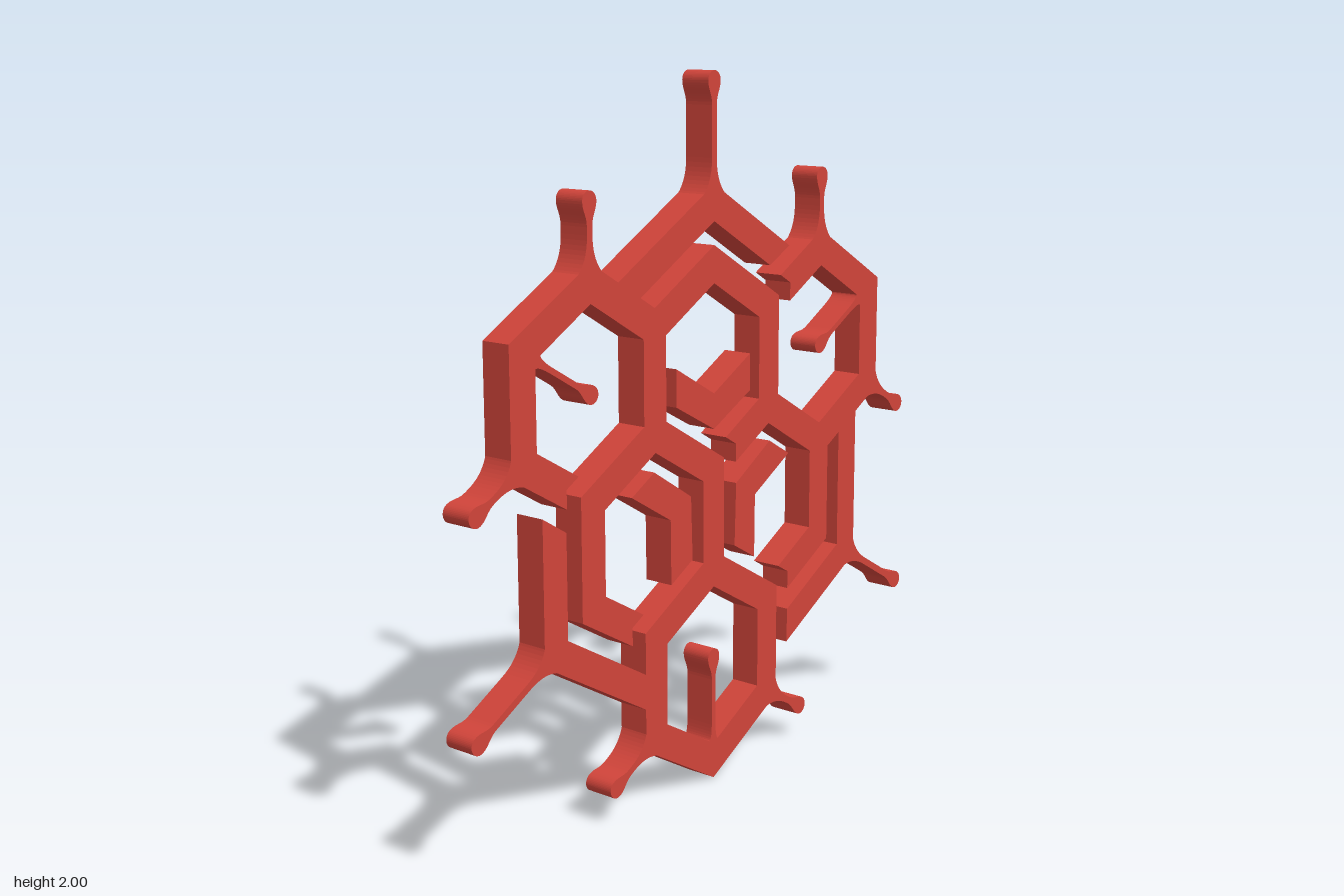
import * as THREE from 'three';

const DEPTH = 0.09;            // plate thickness
const T = 0.045;               // half width of a bar
const APO = 0.2475;            // hexagon apothem on bar centre lines
const R = APO / Math.cos(Math.PI / 6);
const MID = 0.912;             // height of the pattern's centre
const TAN30 = Math.tan(Math.PI / 6);
const rad = THREE.MathUtils.degToRad;
const polar = (c, r, deg) => [c[0] + r * Math.cos(rad(deg)), c[1] + r * Math.sin(rad(deg))];

const red = new THREE.MeshStandardMaterial({ color: 0xd0443a });

// Extrude a flat shape, centred on z = 0
function plate(shape, name) {
  const geo = new THREE.ExtrudeGeometry(shape, { depth: DEPTH, bevelEnabled: false, curveSegments: 10 });
  geo.translate(0, 0, -DEPTH / 2);
  const mesh = new THREE.Mesh(geo, red);
  mesh.name = name;
  return mesh;
}

const polygon = (pts) => new THREE.Shape(pts.map((p) => new THREE.Vector2(p[0], p[1])));

// Bar from a to b; a cut start stops short with a notched end
function bar(a, b, cut) {
  const len = Math.hypot(b[0] - a[0], b[1] - a[1]);
  const ext = T * TAN30;
  const start = cut ? [[0.087, T], [0.087 + ext, 0], [0.087, -T]] : [[-ext, T], [-ext, -T]];
  const mesh = plate(polygon([...start, [len + ext, -T], [len + ext, T]]), cut ? 'cutBar' : 'bar');
  mesh.position.set(a[0], a[1], 0);
  mesh.rotation.z = Math.atan2(b[1] - a[1], b[0] - a[0]);
  return mesh;
}

// Stem with flared root and round knob, pointing along deg; slope is the corner's side angle
function spike(base, deg, len, { root = 0.055, slope = -TAN30, w = 0.01, r = 0.026, name = 'spike' } = {}) {
  const flare = Math.min(0.07, len * 0.45);
  const u0 = root * slope;
  const neck = len - 0.065;
  const s = new THREE.Shape();
  s.moveTo(0, Math.min(u0, 0) - 0.02);
  s.lineTo(root, u0 - 0.004);
  s.quadraticCurveTo(w, Math.max(u0 * 0.2, 0), w, flare);
  s.lineTo(w, Math.max(neck, flare + 0.002));
  s.bezierCurveTo(w, len - 0.035, r, len - 0.025, r, len);
  s.absarc(0, len, r, 0, Math.PI, false);
  s.bezierCurveTo(-r, len - 0.025, -w, len - 0.035, -w, Math.max(neck, flare + 0.002));
  s.lineTo(-w, flare);
  s.quadraticCurveTo(-w, Math.max(u0 * 0.2, 0), -root, u0 - 0.004);
  const mesh = plate(s, name);
  mesh.position.set(base[0], base[1], 0);
  mesh.rotation.z = rad(deg - 90);
  return mesh;
}

export function createModel() {
  const model = new THREE.Group();
  model.name = 'hexagonEmblem';

  // Cell centres of the triangular honeycomb
  const yTop = MID + R, yMid = MID - R / 2, yLow = MID - 2 * R;
  const top = [0, yTop], upLeft = [-2 * APO, yTop], upRight = [2 * APO, yTop], low = [0, yLow];
  const cells = [top, upLeft, upRight, [-APO, yMid], [APO, yMid], low];

  // Bars that stop short: the joint they stop at and their direction
  const cuts = [
    [[-2 * APO, MID], 150],
    [[APO, MID + 1.5 * R], 30],
    [[APO, MID - 1.5 * R], 30],
    [[-APO, MID - 1.5 * R], 150],
    [[0, MID], 30],
  ];
  const near = (p, q) => Math.hypot(p[0] - q[0], p[1] - q[1]) < 0.01;

  // Honeycomb lattice, each shared edge built once
  const lattice = new THREE.Group();
  lattice.name = 'honeycombLattice';
  const done = [];
  for (const c of cells) {
    for (let k = 0; k < 6; k++) {
      let a = polar(c, R, 30 + 60 * k);
      let b = polar(c, R, 90 + 60 * k);
      const m = [(a[0] + b[0]) / 2, (a[1] + b[1]) / 2];
      if (done.some((d) => near(d, m))) continue;
      done.push(m);
      const cut = cuts.find(([v, deg]) => near(polar(v, R / 2, deg), m));
      if (cut && near(b, cut[0])) [a, b] = [b, a];
      lattice.add(bar(a, b, Boolean(cut)));
    }
  }
  model.add(lattice);

  // Outer bent band, inner chevron and long spike, repeated three times about the centre
  const band = [[0, 0.788], [-0.39, 0.563], [-0.36, 0.506], [-0.303, 0.513], [0, 0.688], [0.25, 0.544], [0.339, 0.592]];
  const chevron = [[-0.16, 0.305], [-0.16, 0.2], [0, 0.115], [0.16, 0.2], [0.16, 0.305], [0, 0.215]];
  ['top', 'right', 'left'].forEach((side, i) => {
    const arm = new THREE.Group();
    arm.name = side + 'Arm';
    arm.add(plate(polygon(band), 'outerBand'));
    arm.add(plate(polygon(chevron), 'innerChevron'));
    arm.add(spike([0, 0.788], 90, 0.274, { name: 'longSpike' }));
    arm.position.y = MID;
    arm.rotation.z = -i * rad(120);
    model.add(arm);
  });

  // Short spikes on the outer corners
  const outer = R + T / Math.cos(Math.PI / 6);
  for (const [c, deg, len] of [
    [upLeft, 90, 0.155], [upRight, 90, 0.155],
    [upLeft, 210, 0.14], [upRight, -30, 0.14],
    [low, 210, 0.14], [low, -30, 0.14],
  ]) {
    model.add(spike(polar(c, outer, deg), deg, len, { name: 'shortSpike' }));
  }

  // Thin spikes pointing inward inside the three corner cells
  const inner = R - T / Math.cos(Math.PI / 6);
  for (const [c, deg] of [[upLeft, 150], [upRight, 30], [low, 270]]) {
    model.add(spike(polar(c, inner, deg), deg + 180, inner - (c === low ? -0.025 : 0),
      { root: 0.025, slope: TAN30, w: 0.008, r: 0.025, name: 'innerSpike' }));
  }
  return model;
}
